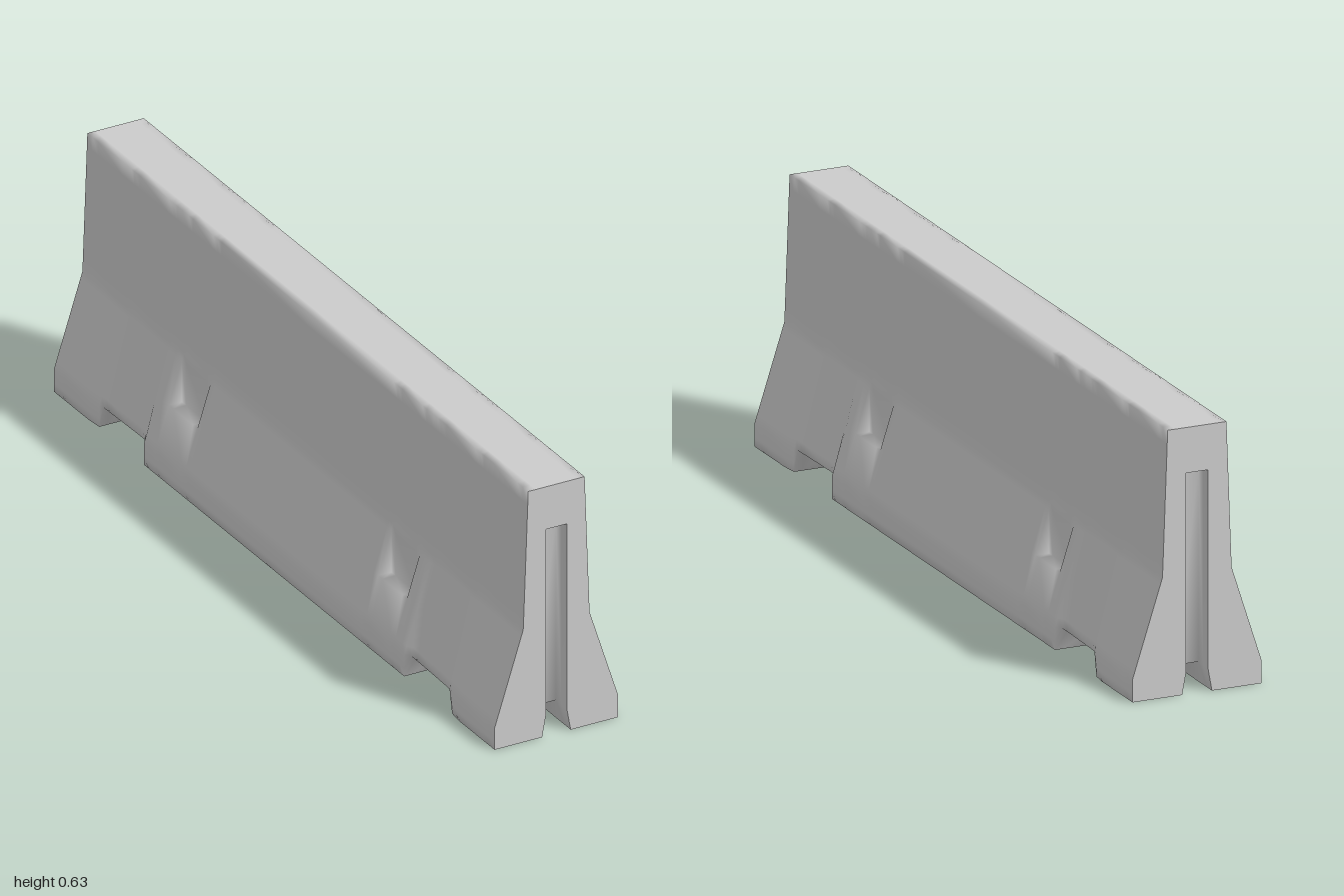
import * as THREE from 'three';
import { mergeVertices } from 'three/addons/utils/BufferGeometryUtils.js';

const FOOT = 0.055; // height of the feet, drain openings and underside channel

// Closed outline of the barrier, counter-clockwise seen from +z
function section({ slot = false, cut = false, pocket = false, hip = 0.16 }) {
  const base = cut ? FOOT : 0;
  const slope = y => hip + (0.086 - hip) * (y - FOOT) / (0.285 - FOOT);
  const half = [
    [0.027, slot ? 0.525 : FOOT],      // channel or end slot ceiling
    [0.027, FOOT],
    [cut ? 0.027 : 0.037, base],       // foot underside
    [0.055, base], [hip - 0.02, base], [hip, base],
    [hip, cut ? FOOT : 0.02], [hip, FOOT],
    [slope(0.075), 0.075],
    [slope(0.165), 0.165],             // pocket sill
    [pocket ? slope(0.27) : slope(0.165), 0.165],
    [slope(0.27), 0.27],
    [0.086, 0.285], [0.0845, 0.32],
    [0.0742, 0.6], [0.073, 0.633], [0.053, 0.633],
  ];
  return [...half, ...half.map(([x, y]) => [-x, y]).reverse()];
}

// Stations from the middle to one end; repeated z values make upright walls
const stations = [
  [0, {}], [0.39, {}], [0.41, {}],
  [0.41, { pocket: true }], [0.43, { pocket: true }],
  [0.52, { pocket: true }], [0.54, { pocket: true }],
  [0.54, {}], [0.57, {}], [0.59, {}],
  [0.605, { cut: true, hip: 0.15 }], [0.63, { cut: true, hip: 0.15 }],
  [0.76, { cut: true, hip: 0.153 }], [0.785, { cut: true, hip: 0.154 }],
  [0.8, { hip: 0.156 }], [0.84, {}], [0.95, {}],
  [0.95, { slot: true }], [0.975, { slot: true }], [1, { slot: true }],
];

// Skin lofted through the sections from back to front
function loftGeometry() {
  const back = stations.slice(1).reverse().map(([z, s]) => [-z, s]);
  const all = [...back, ...stations];
  const positions = [], index = [];
  const n = section({}).length;
  all.forEach(([z, s], j) => {
    section(s).forEach(([x, y]) => positions.push(x, y, z));
    if (j === 0) return;
    for (let i = 0; i < n; i++) {
      const k = (i + 1) % n, p = (j - 1) * n, q = j * n;
      index.push(p + i, p + k, q + k, p + i, q + k, q + i);
    }
  });
  let g = new THREE.BufferGeometry();
  g.setAttribute('position', new THREE.Float32BufferAttribute(positions, 3));
  g.setIndex(index);
  g = mergeVertices(g, 1e-5);
  g.computeVertexNormals();
  return g;
}

// Flat end face with its open slot
function endGeometry() {
  const points = section({ slot: true })
    .map(([x, y]) => new THREE.Vector2(x, y))
    .filter((p, i, a) => i === 0 || p.distanceTo(a[i - 1]) > 1e-5);
  return new THREE.ShapeGeometry(new THREE.Shape(points));
}

export function createModel() {
  const group = new THREE.Group();
  group.name = 'roadBarrier';
  const concrete = new THREE.MeshStandardMaterial({ color: 0xcccccc });

  const body = new THREE.Mesh(loftGeometry(), concrete);
  body.name = 'barrierBody';
  group.add(body);

  const cap = endGeometry();
  for (const side of [1, -1]) {
    const end = new THREE.Mesh(cap, concrete);
    end.name = side > 0 ? 'frontEnd' : 'backEnd';
    end.position.z = side;
    if (side < 0) end.rotation.y = Math.PI;
    group.add(end);
  }
  return group;
}
